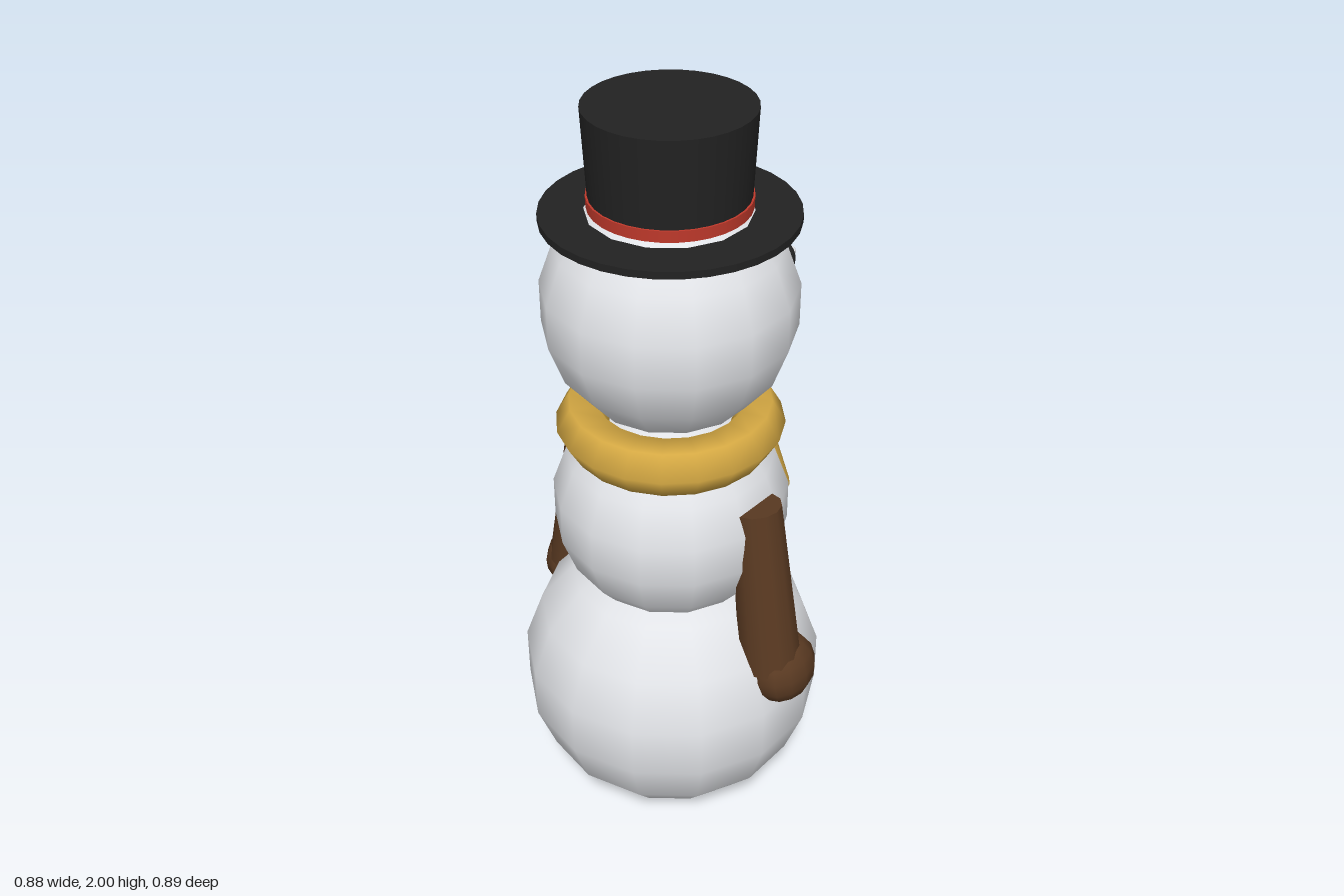
import * as THREE from 'three';

const mat = (name, color) => {
  const m = new THREE.MeshStandardMaterial({ color });
  m.name = name;
  return m;
};

export function createModel() {
  const snow = mat('snow', 0xe8eaee);
  const black = mat('black', 0x222222);
  const wood = mat('brown', 0x5a3a22);
  const orange = mat('orange', 0xcf6a2c);
  const yellow = mat('yellow', 0xd4a843);
  const red = mat('red', 0xc0392b);

  const AXIS_Z = 0.046; // the body axis sits a little behind the nose tip's centre
  const model = new THREE.Group();
  model.name = 'snowman';

  function add(name, geometry, material, x, y, z) {
    const mesh = new THREE.Mesh(geometry, material);
    mesh.name = name;
    mesh.position.set(x, y, z);
    model.add(mesh);
    return mesh;
  }

  function ellipsoid(name, material, [x, y, z], [rx, ry, rz], w = 14, h = 9) {
    const g = new THREE.SphereGeometry(1, w, h).rotateY(Math.PI / 2).scale(rx, ry, rz);
    return add(name, g, material, x, y, z);
  }

  // tapered rod between two points
  function rod(name, material, a, b, ra, rb, sides, flat = 1, yaw = 0) {
    const from = new THREE.Vector3(...a), to = new THREE.Vector3(...b);
    const dir = from.clone().sub(to);
    const g = new THREE.CylinderGeometry(ra, rb, dir.length(), sides);
    g.scale(1, 1, flat).rotateY(yaw);
    const mid = from.add(to).multiplyScalar(0.5);
    const mesh = add(name, g, material, mid.x, mid.y, mid.z);
    mesh.quaternion.setFromUnitVectors(new THREE.Vector3(0, 1, 0), dir.normalize());
    return mesh;
  }

  // three snowballs
  [['lowerBody', 0.405, 0.401], ['upperBody', 0.94, 0.303], ['head', 1.51, 0.311]]
    .forEach(([name, y, r]) => ellipsoid(name, snow, [0, y, AXIS_Z], [r, r, r]));

  // top hat
  add('hatBrim', new THREE.CylinderGeometry(0.302, 0.302, 0.018, 32), black, 0, 1.742, AXIS_Z - 0.003);
  add('hatCrown', new THREE.CylinderGeometry(0.198, 0.186, 0.235, 32), black, 0, 1.8825, AXIS_Z - 0.003);
  add('hatBand', new THREE.CylinderGeometry(0.192, 0.191, 0.028, 32), red, 0, 1.776, AXIS_Z - 0.003);

  // scarf loop and hanging tail
  const loop = new THREE.TorusGeometry(0.216, 0.068, 6, 20).rotateX(Math.PI / 2);
  add('scarfLoop', loop, yellow, 0, 1.187, AXIS_Z);
  rod('scarfTail', yellow, [0.09, 1.17, -0.166], [0.112, 0.895, -0.24], 0.045, 0.062, 14, 0.6, -0.4);
  ellipsoid('scarfKnot', yellow, [0.09, 1.17, -0.166], [0.045, 0.045, 0.04], 12, 8);

  // arms and hands
  for (const [label, s] of [['left', 1], ['right', -1]]) {
    rod(label + 'Arm', wood, [s * 0.272, 1.045, 0.046], [s * 0.337, 0.58, 0.05], 0.064, 0.081, 12);
    const hand = ellipsoid(label + 'Hand', wood, [s * 0.365, 0.562, 0.03], [0.075, 0.094, 0.098], 12, 8);
    hand.rotation.z = s * 0.15;

    // eye with a glint
    ellipsoid(label + 'Eye', black, [s * 0.116, 1.55, -0.246], [0.031, 0.04, 0.018], 14, 10)
      .rotation.y = s * -0.12;
    ellipsoid(label + 'EyeGlint', snow, [s * 0.116 + 0.009, 1.565, -0.259], [0.012, 0.012, 0.01], 10, 8);
  }

  // carrot nose
  const cone = new THREE.ConeGeometry(0.034, 0.205, 16).rotateX(-Math.PI / 2);
  add('nose', cone, orange, 0, 1.482, -0.3425);

  // mouth and button
  ellipsoid('mouth', wood, [0, 1.386, -0.236], [0.062, 0.019, 0.016], 14, 8);
  ellipsoid('button', black, [0, 0.735, -0.248], [0.032, 0.032, 0.032], 14, 10);

  return model;
}
